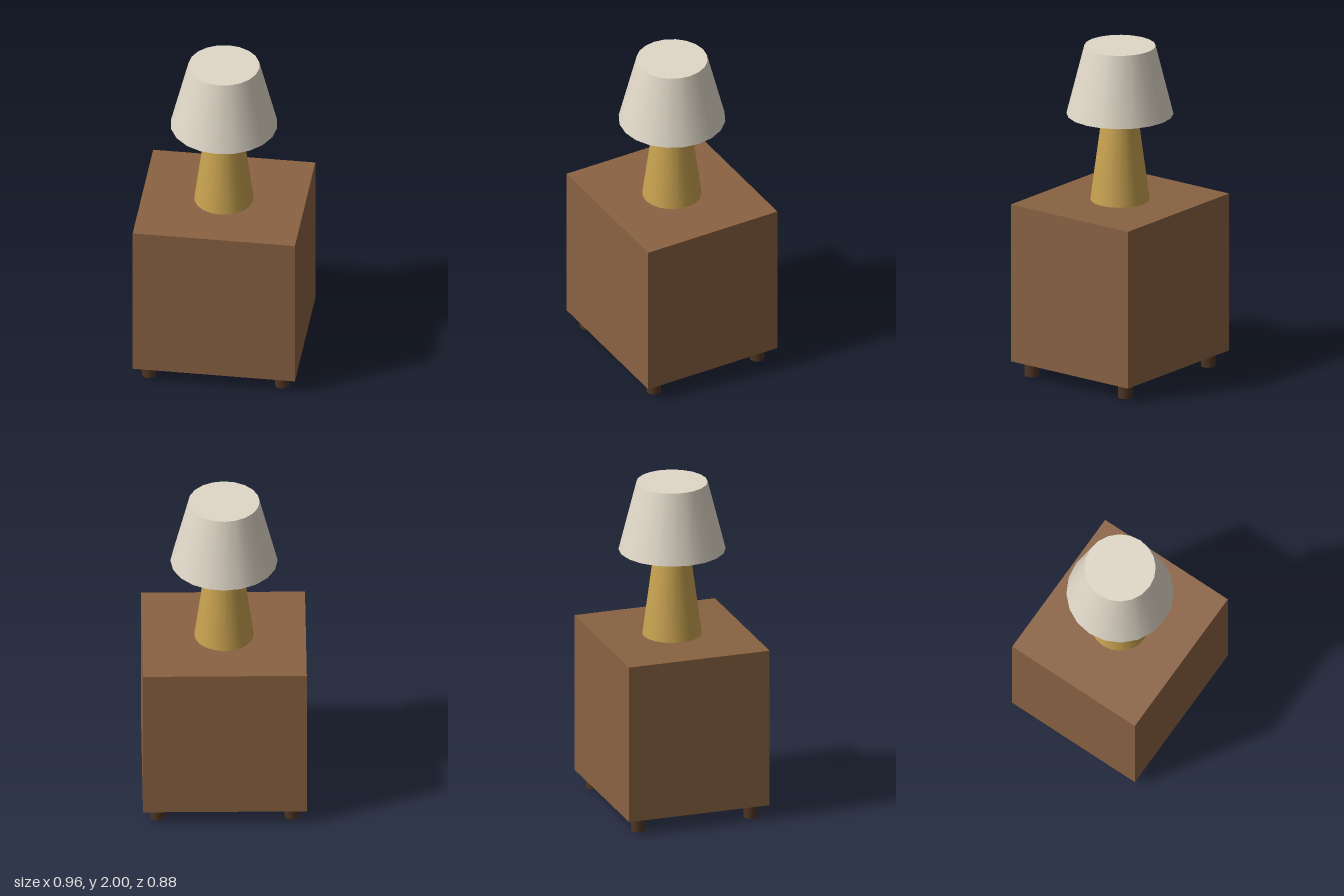
import * as THREE from 'three';

const flat = (name, color) => {
  const material = new THREE.MeshStandardMaterial({ color });
  material.name = name;
  return material;
};

export function createModel() {
  const wood = flat('wood', 0x8a6242);
  const darkWood = flat('darkWood', 0x4e3523);
  const brass = flat('brass', 0xc8a250);
  const linen = flat('linen', 0xe0d8c8);

  const group = new THREE.Group();
  group.name = 'nightstandWithLamp';

  const add = (name, geometry, material, x, y, z) => {
    const mesh = new THREE.Mesh(geometry, material);
    mesh.name = name;
    mesh.position.set(x, y, z);
    group.add(mesh);
  };

  // Heights at which the stacked parts meet
  const legTop = 0.09, cabinetTop = 1.055, baseTop = 1.582, shadeTop = 2;

  // Cabinet
  const cabinetHeight = cabinetTop - legTop;
  add('cabinet', new THREE.BoxGeometry(0.962, cabinetHeight, 0.875), wood, 0, legTop + cabinetHeight / 2, 0);

  // Four short round legs
  const legGeometry = new THREE.CylinderGeometry(0.043, 0.043, legTop, 16);
  for (const [xName, x] of [['Left', 0.394], ['Right', -0.394]]) {
    for (const [zName, z] of [['front', 0.35], ['back', -0.35]]) {
      add(`${zName}${xName}Leg`, legGeometry, darkWood, x, legTop / 2, z);
    }
  }

  // Tapered lamp base
  const baseHeight = baseTop - cabinetTop;
  add('lampBase', new THREE.CylinderGeometry(0.105, 0.175, baseHeight, 20), brass, 0, cabinetTop + baseHeight / 2, 0);

  // Closed conical lampshade
  const shadeHeight = shadeTop - baseTop;
  add('lampShade', new THREE.CylinderGeometry(0.21, 0.315, shadeHeight, 20), linen, 0, baseTop + shadeHeight / 2, 0);

  return group;
}
